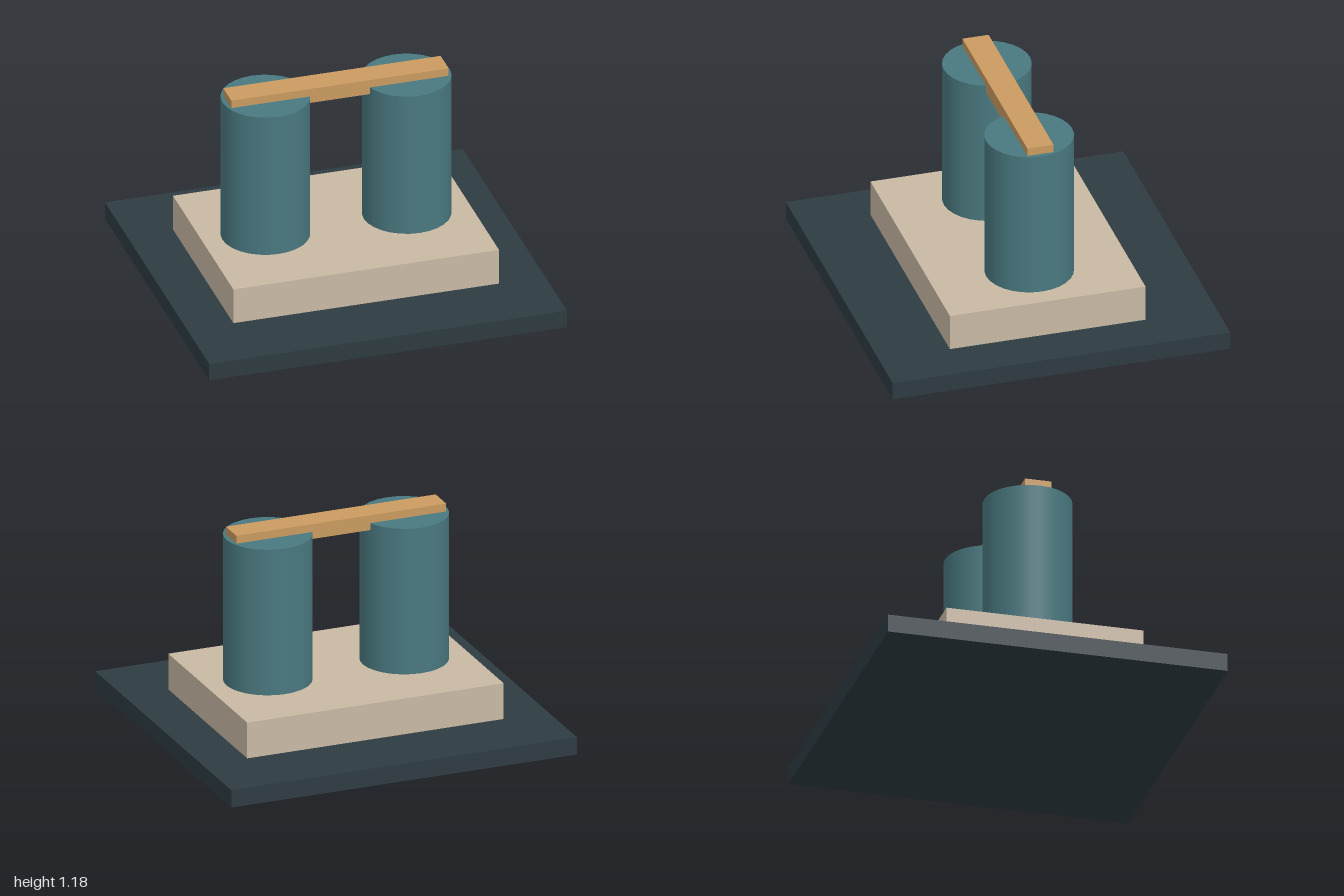
import * as THREE from 'three';

const material = (name, color) => {
  const m = new THREE.MeshStandardMaterial({ color });
  m.name = name;
  return m;
};

export function createModel() {
  const group = new THREE.Group();
  const slate = material('dark slate', 0x2d3b41);
  const stone = material('pale stone', 0xc9b9a4);
  const teal = material('teal', 0x49787f);
  const wood = material('light wood', 0xca9b60);

  const add = (name, geometry, mat, x, bottom, height) => {
    const mesh = new THREE.Mesh(geometry, mat);
    mesh.name = name;
    mesh.position.set(x, bottom + height / 2, 0);
    group.add(mesh);
  };
  const addBox = (name, mat, width, depth, bottom, top) =>
    add(name, new THREE.BoxGeometry(width, top - bottom, depth), mat, 0, bottom, top - bottom);

  // Ground slab and plinth
  addBox('groundSlab', slate, 2, 1.88, 0, 0.1);
  addBox('plinth', stone, 1.485, 1.09, 0.1, 0.305);

  // Twin columns
  for (const [name, side] of [['leftColumn', 1], ['rightColumn', -1]]) {
    add(name, new THREE.CylinderGeometry(0.24, 0.24, 0.84, 28), teal, side * 0.395, 0.3, 0.84);
  }

  // Beam let into the column tops
  addBox('beam', wood, 1.215, 0.146, 1.1, 1.185);

  return group;
}
